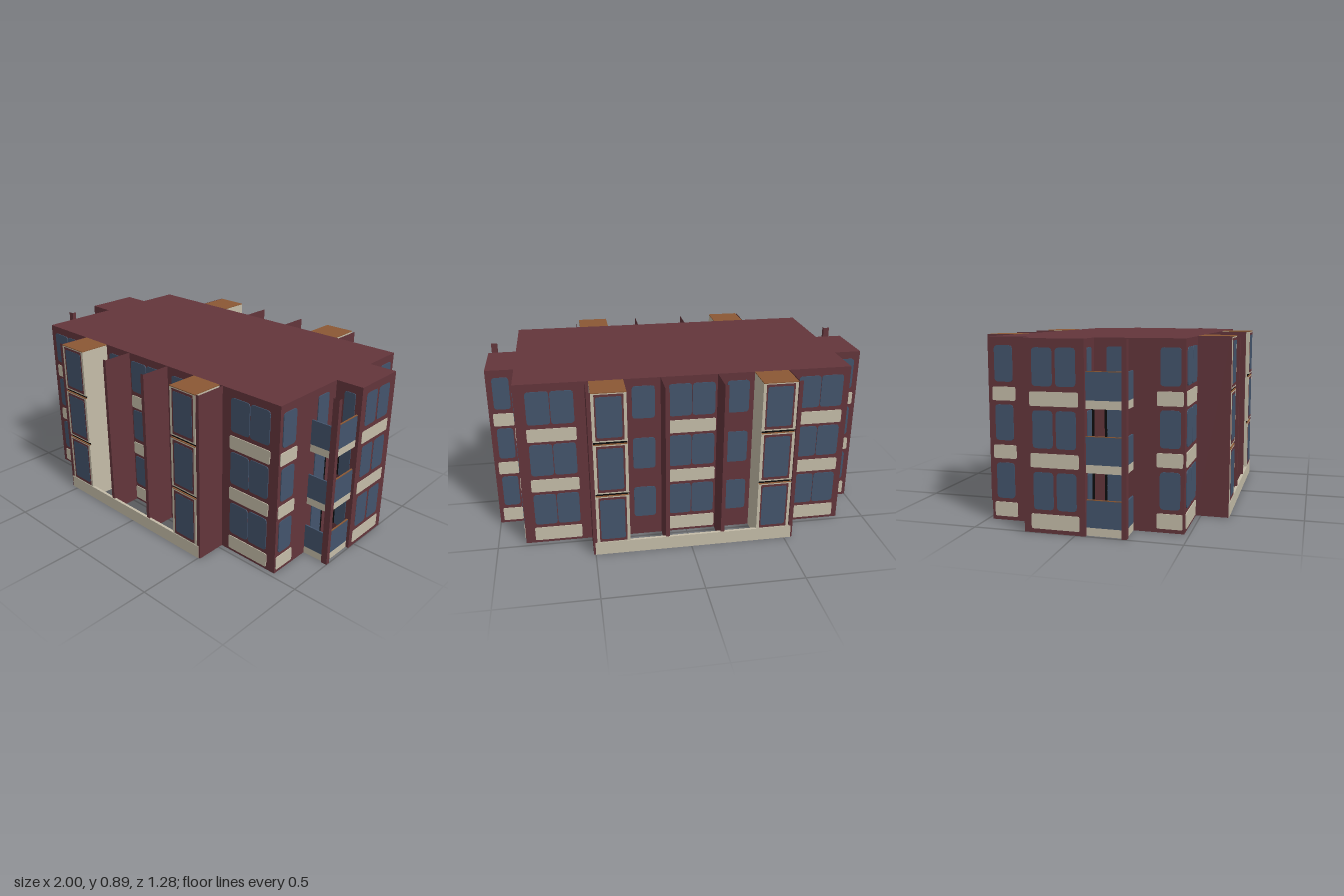
import * as THREE from 'three';

const mat = (name, color, double) => {
  const m = new THREE.MeshStandardMaterial({ color });
  m.name = name;
  if (double) m.side = THREE.DoubleSide;
  return m;
};

export function createModel() {
  const model = new THREE.Group();
  model.name = 'apartmentBlock';
  const brick = mat('brick red', 0x63353b);
  const wallBrick = brick.clone();
  wallBrick.side = THREE.DoubleSide;
  const glass = mat('window blue', 0x43546c);
  const beige = mat('beige render', 0xc5bda9);
  const orange = mat('orange brown cap', 0x8b5834);
  const black = mat('black', 0x0b0b0b);

  const H = 0.89, W = 0.855, D = 0.475, BAY = 0.64;

  const add = (name, geo, material) => {
    const m = new THREE.Mesh(geo, material);
    m.name = name;
    model.add(m);
    return m;
  };
  // Box given by its limits; openEnds drops the top and bottom faces
  const box = (name, material, x0, x1, y0, y1, z0, z1, openEnds) => {
    const g = new THREE.BoxGeometry(x1 - x0, y1 - y0, Math.abs(z1 - z0));
    if (openEnds) {
      g.setIndex([...g.index.array].filter((_, i) => i < 12 || i >= 24));
      g.clearGroups();
    }
    g.translate((x0 + x1) / 2, (y0 + y1) / 2, (z0 + z1) / 2);
    return add(name, g, material);
  };
  // Thin plate with rounded corners, showing on both sides of a wall.
  // axis 'z': spans x at depth pos; axis 'x': spans z at x = pos
  const plate = (name, material, axis, u0, u1, y0, y1, pos, r = 0.004, t = 0.008) => {
    const s = new THREE.Shape();
    s.moveTo(u0 + r, y0);
    s.lineTo(u1 - r, y0);
    s.quadraticCurveTo(u1, y0, u1, y0 + r);
    s.lineTo(u1, y1 - r);
    s.quadraticCurveTo(u1, y1, u1 - r, y1);
    s.lineTo(u0 + r, y1);
    s.quadraticCurveTo(u0, y1, u0, y1 - r);
    s.lineTo(u0, y0 + r);
    s.quadraticCurveTo(u0, y0, u0 + r, y0);
    const g = new THREE.ExtrudeGeometry(s, { depth: t, bevelEnabled: false, curveSegments: 3 });
    g.translate(0, 0, -t / 2);
    if (axis === 'x') g.rotateY(-Math.PI / 2).translate(pos, 0, 0);
    else g.translate(0, 0, pos);
    return add(name, g, material);
  };

  // Outer walls around the cross-shaped footprint, open below
  const outline = [
    [-W, D], [W, D], [W, 0.05], [1, 0.05], [1, -0.245], [W, -0.245],
    [W, -D], [-W, -D], [-W, -0.245], [-1, -0.245], [-1, 0.05], [-W, 0.05],
  ];
  outline.forEach(([x0, z0], i) => {
    const [x1, z1] = outline[(i + 1) % outline.length];
    const g = new THREE.PlaneGeometry(Math.hypot(x1 - x0, z1 - z0), H);
    g.rotateY(Math.atan2(-(z1 - z0), x1 - x0));
    g.translate((x0 + x1) / 2, H / 2, (z0 + z1) / 2);
    add('outerWall', g, wallBrick);
  });
  const roof = new THREE.ShapeGeometry(new THREE.Shape(outline.map(([x, z]) => new THREE.Vector2(x, -z))));
  add('roof', roof.rotateX(-Math.PI / 2).translate(0, H, 0), wallBrick);

  // Window and sill-panel heights for the three storeys
  const windows = [[0.11, 0.285], [0.395, 0.568], [0.677, 0.85]];
  const sills = [[0.015, 0.09], [0.302, 0.372], [0.583, 0.653]];
  const R = 0.018;

  for (const s of [1, -1]) {
    const z = s * D;
    windows.forEach(([y0, y1], f) => {
      // Long facades: paired windows over beige panels, single windows between
      for (const [a, b] of [[-0.825, -0.575], [-0.15, 0.1], [0.56, 0.805]]) {
        const mid = (a + b) / 2;
        plate('window', glass, 'z', a + 0.006, mid - 0.002, y0, y1, z, R);
        plate('window', glass, 'z', mid + 0.002, b - 0.006, y0, y1, z, R);
        plate('sillPanel', beige, 'z', a, b, ...sills[f], z, 0.008);
      }
      plate('window', glass, 'z', -0.32, -0.205, y0, y1, z, R);
      plate('window', glass, 'z', 0.165, 0.28, y0, y1, z, R);
    });

    // Projecting bays with framed windows and orange caps
    for (const [a, b] of [[-0.52, -0.345], [0.32, 0.49]]) {
      const front = s * (BAY - 0.012);
      box('bayBody', beige, a, b, 0, H - 0.004, z, front);
      box('bayCap', orange, a, b, H - 0.004, H, z, s * BAY);
      [[0, 0.335], [0.351, 0.618], [0.634, 0.886]].forEach(([y0, y1], f) => {
        box('bayFrame', beige, a, b, y0, y1, front, s * (BAY - 0.002));
        if (f < 2) {
          box('bayLedge', orange, a + 0.003, b - 0.003, y1, y1 + 0.003, front, s * (BAY - 0.002));
          plate('bayJoint', black, 'z', a + 0.003, b - 0.003, y1 + 0.003, y1 + 0.016, front, 0.001, 0.004);
        }
        const low = f === 0 ? 0.075 : y0 + 0.008;
        plate('bayWindowFrame', brick, 'z', a + 0.015, b - 0.015, low, y1 - 0.006, s * (BAY - 0.002), 0.003, 0.002);
        plate('bayWindow', glass, 'z', a + 0.024, b - 0.022, low + 0.015, y1 - 0.018, s * (BAY - 0.002), 0.012, 0.004);
      });
      plate('bayInnerWall', black, 'z', a, b, 0.005, H - 0.01, s * (D - 0.005), 0.002, 0.002);
    }

    // Upright fins, open at the ends, and the low wall joining them
    for (const x of [-0.535, -0.165, 0.125, 0.5]) {
      box('fin', brick, x - 0.01, x + 0.01, 0, H, z, s * (BAY - 0.004), true);
      plate('finInnerStrip', black, 'z', x - 0.01, x + 0.01, 0.005, H - 0.01, s * (D - 0.005), 0.002, 0.002);
    }
    box('lowWall', beige, -0.535, 0.5, 0, 0.07, s * (BAY - 0.015), s * BAY);
  }

  // Ends of the block: side windows, wings and balconies
  for (const s of [1, -1]) {
    windows.forEach(([y0, y1], f) => {
      const [p0, p1] = sills[f];
      // Main body ends
      plate('window', glass, 'x', 0.36, 0.455, y0, y1, s * W, R);
      plate('sillPanel', beige, 'x', 0.345, 0.467, p0 + 0.004, p1, s * W, 0.008);
      plate('window', glass, 'x', -0.447, -0.355, y0, y1, s * W, R);
      plate('sillPanel', beige, 'x', -0.46, -0.343, p0 + 0.004, p1, s * W, 0.008);
      // Wing ends
      plate('window', glass, 'x', -0.085, 0.01, y0, y1, s, R, 0.002);
      plate('window', glass, 'x', -0.197, -0.1, y0, y1, s, R, 0.002);
      plate('sillPanel', beige, 'x', -0.21, 0.022, p0 + 0.004, p1, s, 0.008, 0.002);
      // Wing back faces
      const span = (a, b) => (s > 0 ? [a, b] : [-b, -a]);
      plate('window', glass, 'z', ...span(0.885, 0.97), y0, y1, -0.245, R);
      plate('sillPanel', beige, 'z', ...span(0.875, 0.98), p0, p1, -0.245, 0.008);
      // Glazing behind the balconies
      plate('balconyDoor', glass, 'x', 0.11, 0.195, y0 - 0.07, y1, s * W, 0.012);
      if (f < 2) plate('balconyDoorGap', black, 'x', 0.1, 0.112, y0 - 0.07, y1, s * W, 0.002);
      plate('balconyWindow', glass, 'z', ...span(0.905, 0.965), y0, y1, 0.05, 0.012);
      if (f < 2) plate('balconyWindowGap', black, 'z', ...span(0.868, 0.905), y0, y1, 0.05, 0.004);
      // Balcony edge and glass rail on both open sides
      const yb = [0, 0.29, 0.58][f];
      const ye = yb + 0.038, yr = yb + 0.165;
      plate('balconyEdge', beige, 'x', 0.05, 0.222, yb, ye, s * 0.98, 0.001);
      plate('balconyRail', glass, 'x', 0.05, 0.222, ye, yr, s * 0.98, 0.001);
      plate('railCap', orange, 'x', 0.05, 0.222, yr, yr + 0.003, s * 0.98, 0.001);
      plate('balconyEdge', beige, 'z', ...span(W, 0.968), yb, ye, 0.232, 0.001);
      plate('balconyRail', glass, 'z', ...span(W, 0.968), ye, yr, 0.232, 0.001);
    });
    // Corner post of the balconies
    const [x0, x1] = s > 0 ? [0.967, 1] : [-1, -0.967];
    box('balconyPost', brick, x0, x1, 0, H, 0.22, 0.243, true);
  }

  return model;
}
